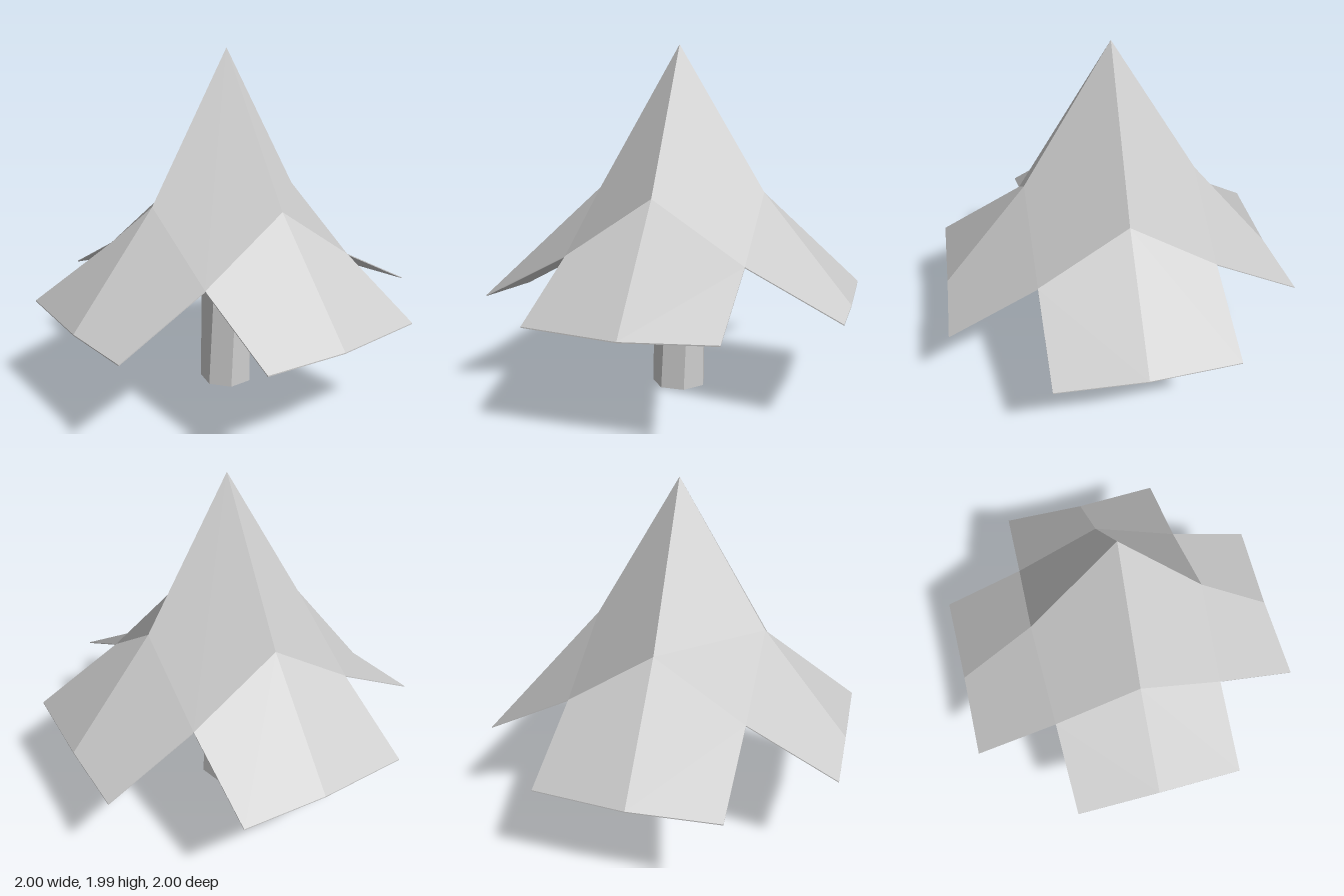
import * as THREE from 'three';

const V = (x, y, z) => new THREE.Vector3(x, y, z);

// Builds a geometry from polygons fanned from their first corner, each shaded with one flat normal
function facesGeometry(faces) {
  const pos = [], nor = [];
  for (const f of faces) {
    const n = f[2].clone().sub(f[0]).cross(f[3].clone().sub(f[1])).normalize();
    for (let i = 1; i < f.length - 1; i++) {
      for (const p of [f[0], f[i], f[i + 1]]) {
        pos.push(p.x, p.y, p.z);
        nor.push(n.x, n.y, n.z);
      }
    }
  }
  const g = new THREE.BufferGeometry();
  g.setAttribute('position', new THREE.Float32BufferAttribute(pos, 3));
  g.setAttribute('normal', new THREE.Float32BufferAttribute(nor, 3));
  return g;
}

// One corner of the canopy: a roof panel and the half flaps on both sides of its notch
function canopyCorner(peaked) {
  const thickness = 0.006;
  const low = (p) => V(p.x, p.y - thickness, p.z);
  const swap = (p) => V(p.z, p.y, p.x);
  const apex = V(0, 1.99, 0), notch = V(0.5, 0.83, 0.5);
  const ridge = V(0, 1.16, 0.5), tip = V(0, 0.544, 1), corner = V(0.5, 0.574, 1);
  const [sideRidge, sideTip, sideCorner] = [ridge, tip, corner].map(swap);

  const quads = [
    [apex, ridge, notch, sideRidge],
    [ridge, tip, corner, notch],
    [sideRidge, notch, sideCorner, sideTip],
  ];
  // the hollow kind folds along the other diagonal
  const top = peaked ? quads : quads.map(([a, b, c, d]) => [b, c, d, a]);
  const under = top.map(([a, b, c, d]) => [a, d, c, b].map(low));
  const rim = [[tip, corner], [corner, notch], [notch, sideCorner], [sideCorner, sideTip]]
    .map(([p, q]) => [p, low(p), low(q), q]);
  return facesGeometry([...top, ...under, ...rim]);
}

// Seven-sided post, slightly tapered and twisted
function postGeometry() {
  const ring = (y, r, twist) => Array.from({ length: 7 }, (_, i) => {
    const t = Math.PI + (i * Math.PI * 2) / 7 + twist;
    return V(r * Math.sin(t), y, r * Math.cos(t));
  });
  const rings = [0, 0.5, 1, 1.5].map((y) => ring(y, 0.16 - 0.018 * y, 0.32 * y));
  const faces = [[...rings[0]].reverse(), rings[3]];
  for (let r = 0; r < 3; r++) {
    for (let i = 0; i < 7; i++) {
      const j = (i + 1) % 7;
      faces.push([rings[r + 1][i], rings[r][i], rings[r][j], rings[r + 1][j]]);
    }
  }
  return facesGeometry(faces);
}

export function createModel() {
  const model = new THREE.Group();
  model.name = 'canopyOnPost';
  const grey = new THREE.MeshStandardMaterial({ color: 0xcccccc });
  grey.name = 'light grey';

  // Hollow and peaked corners alternate around the canopy
  const canopy = new THREE.Group();
  canopy.name = 'canopy';
  const corners = [canopyCorner(false), canopyCorner(true)];
  ['frontLeftCorner', 'backLeftCorner', 'backRightCorner', 'frontRightCorner'].forEach((name, i) => {
    const corner = new THREE.Mesh(corners[i % 2], grey);
    corner.name = name;
    corner.rotation.y = (i * Math.PI) / 2;
    canopy.add(corner);
  });

  const post = new THREE.Mesh(postGeometry(), grey);
  post.name = 'post';
  model.add(canopy, post);
  return model;
}
